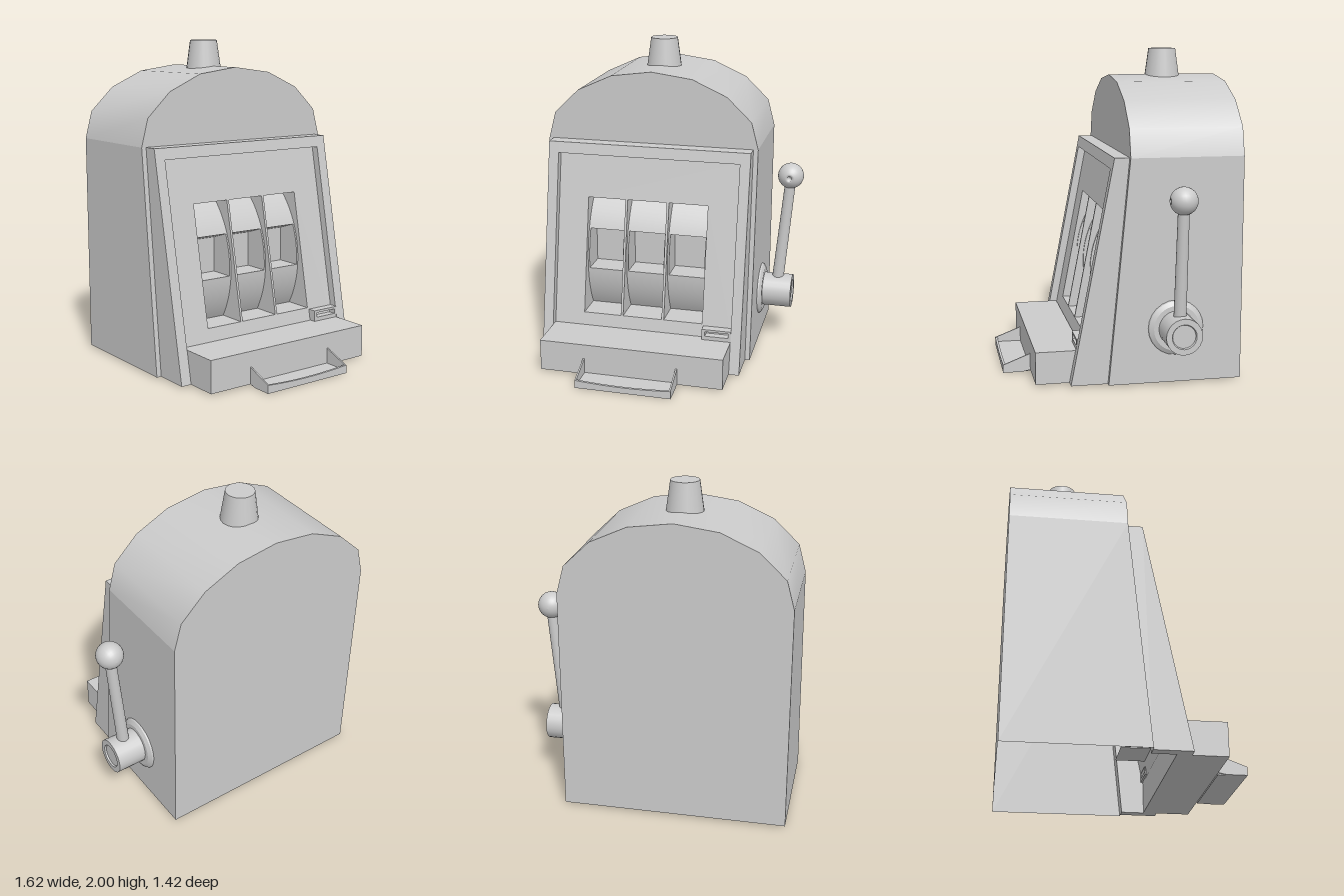
import * as THREE from 'three';

const CX = -0.13; // cabinet centre line
const lerpLine = (y0, z0, y1, z1) => y => z0 + (z1 - z0) * (y - y0) / (y1 - y0);
const bodyZ = y => (y >= 1.38 ? -0.02 : lerpLine(0.01, 0.11, 1.38, -0.02)(y));
const frameZ = lerpLine(0.01, 0.335, 1.38, 0.07);
const panelZ = y => frameZ(y) - 0.05;

export function createModel() {
  const model = new THREE.Group();
  const mat = new THREE.MeshStandardMaterial({ color: 0xcccccc, side: THREE.DoubleSide });

  const add = (name, geo, parent = model) => {
    const m = new THREE.Mesh(geo, mat);
    m.name = name;
    parent.add(m);
    return m;
  };
  const group = name => {
    const g = new THREE.Group();
    g.name = name;
    model.add(g);
    return g;
  };

  // Surface between two matching rows of points
  const ribbon = (a, b, flat = false) => {
    const pos = [], idx = [];
    a.forEach((p, i) => {
      pos.push(...p, ...b[i]);
      if (i) { const k = 2 * i; idx.push(k - 2, k - 1, k, k - 1, k + 1, k); }
    });
    let g = new THREE.BufferGeometry();
    g.setAttribute('position', new THREE.Float32BufferAttribute(pos, 3));
    g.setIndex(idx);
    if (flat) g = g.toNonIndexed();
    g.computeVertexNormals();
    return g;
  };
  // Sweep a [z, y] profile across x
  const sweep = (prof, x0, x1, flat) =>
    ribbon(prof.map(([z, y]) => [x0, y, z]), prof.map(([z, y]) => [x1, y, z]), flat);
  const shapeOf = pts => new THREE.Shape(pts.map(p => new THREE.Vector2(...p)));
  // Flat [z, y] polygon standing at a given x
  const cheek = (pts, x) =>
    new THREE.ShapeGeometry(shapeOf(pts)).rotateY(-Math.PI / 2).translate(x, 0, 0);
  // Flat [x, y] sheet leaned by a z rule
  const lean = (shape, zOf) => {
    const g = new THREE.ShapeGeometry(shape), p = g.attributes.position;
    for (let i = 0; i < p.count; i++) p.setZ(i, zOf(p.getY(i)));
    g.computeVertexNormals();
    return g;
  };
  // Box whose back and front lean with y
  const slab = (x0, x1, y0, y1, back, front) => {
    const g = new THREE.BoxGeometry(x1 - x0, y1 - y0, 1).translate((x0 + x1) / 2, (y0 + y1) / 2, 0);
    const p = g.attributes.position;
    for (let i = 0; i < p.count; i++) p.setZ(i, (p.getZ(i) > 0 ? front : back)(p.getY(i)));
    g.computeVertexNormals();
    return g;
  };
  const box = (x0, x1, y0, y1, z0, z1) => slab(x0, x1, y0, y1, () => z0, () => z1);
  const rect = (x0, x1, y0, y1) => [[x0, y0], [x1, y0], [x1, y1], [x0, y1]];

  // Cabinet shell, open underneath
  const cabinet = group('cabinet');
  const half = [[0.68, 1.38], [0.635, 1.55], [0.48, 1.7], [0.26, 1.8]];
  const arch = [
    ...half.map(([x, y]) => [CX + x, y]), [CX, 1.835],
    ...half.slice().reverse().map(([x, y]) => [CX - x, y]),
  ];
  add('archedTop', ribbon(arch.map(([x, y]) => [x, y, -0.71]), arch.map(([x, y]) => [x, y, -0.02])), cabinet);
  add('archFront', lean(shapeOf(arch), () => -0.02), cabinet);
  add('back', lean(shapeOf([...arch, [-0.81, 0.01], [0.55, 0.01]]), () => -0.71).rotateY(0), cabinet);
  for (const s of [-1, 1]) {
    const x = CX + s * 0.68, xi = CX + s * 0.65;
    add('cabinetSide', cheek([[-0.71, 0.01], [bodyZ(0.01), 0.01], [-0.02, 1.38], [-0.71, 1.38]], x), cabinet);
    add('cabinetFrontEdge', lean(shapeOf(rect(Math.min(x, xi), Math.max(x, xi), 0.01, 1.38)), bodyZ), cabinet);
  }

  // Leaning frame around the front panel
  const frame = group('frontFrame');
  add('leftPost', slab(0.455, 0.52, 0.01, 1.38, bodyZ, frameZ), frame);
  add('rightPost', slab(-0.78, -0.715, 0.01, 1.38, bodyZ, frameZ), frame);
  add('topRail', slab(-0.715, 0.455, 1.31, 1.38, bodyZ, frameZ), frame);

  // Recessed panel with three windows
  const windows = [[-0.52, -0.275], [-0.26, -0.005], [0.01, 0.26]];
  const W0 = 0.29, W1 = 1.03;
  const panel = shapeOf(rect(-0.715, 0.455, 0.2, 1.31));
  windows.forEach(([a, b]) =>
    panel.holes.push(new THREE.Path(rect(a, b, W0, W1).map(p => new THREE.Vector2(...p)))));
  add('frontPanel', lean(panel, panelZ));

  // Reels: curved drum fronts, each with a display pocket
  const R = 0.6, drumZ = y => 0.13 - R + Math.sqrt(R * R - (y - 0.6) ** 2);
  const arc = (y0, y1, n = 10) => Array.from({ length: n + 1 }, (_, i) => {
    const y = y0 + (y1 - y0) * i / n;
    return [drumZ(y), y];
  });
  const P0 = 0.56, P1 = 0.82, backZ = -0.04;
  const pocket = [[drumZ(P0), P0], [backZ, P0], [backZ, 0.78], [drumZ(P1), P1]];
  for (const [a, b] of windows) {
    const reel = group('reel');
    add('reelUpper', sweep(arc(P1, W1), a, b), reel);
    add('reelLower', sweep(arc(W0, P0), a, b), reel);
    add('displayPocket', sweep(pocket, a + 0.01, b - 0.01, true), reel);
    for (const [x0, x1, xi] of [[a, a + 0.01, a + 0.01], [b - 0.01, b, b - 0.01]]) {
      add('reelRim', sweep(arc(P0, P1), x0, x1), reel);
      add('pocketCheek', cheek([...pocket, ...arc(P0, P1).reverse()], xi), reel);
    }
    for (const x of [a, b])
      add('windowCheek', cheek([...arc(W0, W1), [panelZ(W1), W1], [panelZ(W0), W0]], x), reel);
    for (const y of [W0, W1])
      add(y === W0 ? 'windowSill' : 'windowHead', sweep([[drumZ(y), y], [panelZ(y), y]], a, b, true), reel);
  }

  // Coin slot block: four bars around a slot
  const coin = group('coinSlot');
  add('slotBottom', box(0.27, 0.455, 0.21, 0.235, 0.235, 0.29), coin);
  add('slotTop', box(0.27, 0.455, 0.265, 0.28, 0.235, 0.29), coin);
  add('slotEnd', box(0.27, 0.29, 0.235, 0.265, 0.235, 0.29), coin);
  add('slotEnd', box(0.44, 0.455, 0.235, 0.265, 0.235, 0.29), coin);

  // Base ledge and payout tray
  add('baseLedge', box(-0.715, 0.455, 0.01, 0.21, 0.25, 0.54));
  const tray = group('payoutTray');
  const side = shapeOf([[0.54, 0.01], [0.59, 0], [0.71, 0], [0.71, 0.05], [0.54, 0.115]]);
  for (const x of [-0.435, 0.16])
    add('traySide', new THREE.ExtrudeGeometry(side, { depth: 0.01, bevelEnabled: false })
      .rotateY(-Math.PI / 2).translate(x + 0.01, 0, 0), tray);
  add('trayFloor', box(-0.425, 0.16, 0, 0.02, 0.54, 0.7), tray);
  const lip = new THREE.Shape();
  lip.moveTo(-0.425, 0).lineTo(0.16, 0).lineTo(0.16, 0.05).quadraticCurveTo(-0.1325, 0.025, -0.425, 0.05);
  add('trayLip', new THREE.ExtrudeGeometry(lip, { depth: 0.015, bevelEnabled: false, curveSegments: 10 })
    .translate(0, 0, 0.695), tray);

  // Pull lever: flange and hub along x, leaning rod, ball grip
  const lever = group('pullLever');
  const lathe = (pts, n) => {
    // separate bands keep every ring edge sharp
    const g = new THREE.Group();
    for (let i = 1; i < pts.length; i++)
      add('ring', new THREE.LatheGeometry([pts[i - 1], pts[i]].map(p => new THREE.Vector2(...p)), n), g);
    return g;
  };
  const hub = lathe([[0.17, 0], [0.165, 0.01], [0.14, 0.025], [0.11, 0.025], [0.11, 0.21],
    [0.075, 0.21], [0.07, 0.2], [0, 0.2]], 24);
  hub.name = 'leverHub';
  hub.rotation.z = -Math.PI / 2;
  hub.position.set(0.55, 0.35, -0.3);
  lever.add(hub);
  const from = new THREE.Vector3(0.66, 0.4, -0.295), to = new THREE.Vector3(0.725, 1.12, -0.295);
  const dir = to.clone().sub(from);
  const rod = add('leverRod', new THREE.CylinderGeometry(0.034, 0.038, dir.length(), 20), lever);
  rod.position.copy(from).add(to).multiplyScalar(0.5);
  rod.quaternion.setFromUnitVectors(new THREE.Vector3(0, 1, 0), dir.normalize());
  const ballPts = [new THREE.Vector2(0, 0.06), new THREE.Vector2(0.015, 0.065)];
  for (let i = 0; i <= 16; i++) {
    const t = 0.18 + (Math.PI - 0.18) * i / 16;
    ballPts.push(new THREE.Vector2(0.083 * Math.sin(t), 0.083 * Math.cos(t)));
  }
  add('leverBall', new THREE.LatheGeometry(ballPts, 24).rotateX(Math.PI / 2), lever)
    .position.set(0.725, 1.15, -0.295);

  // Tapered lamp on the roof
  add('topLamp', new THREE.CylinderGeometry(0.086, 0.114, 0.2, 20)).position.set(CX, 1.9, -0.365);

  return model;
}
